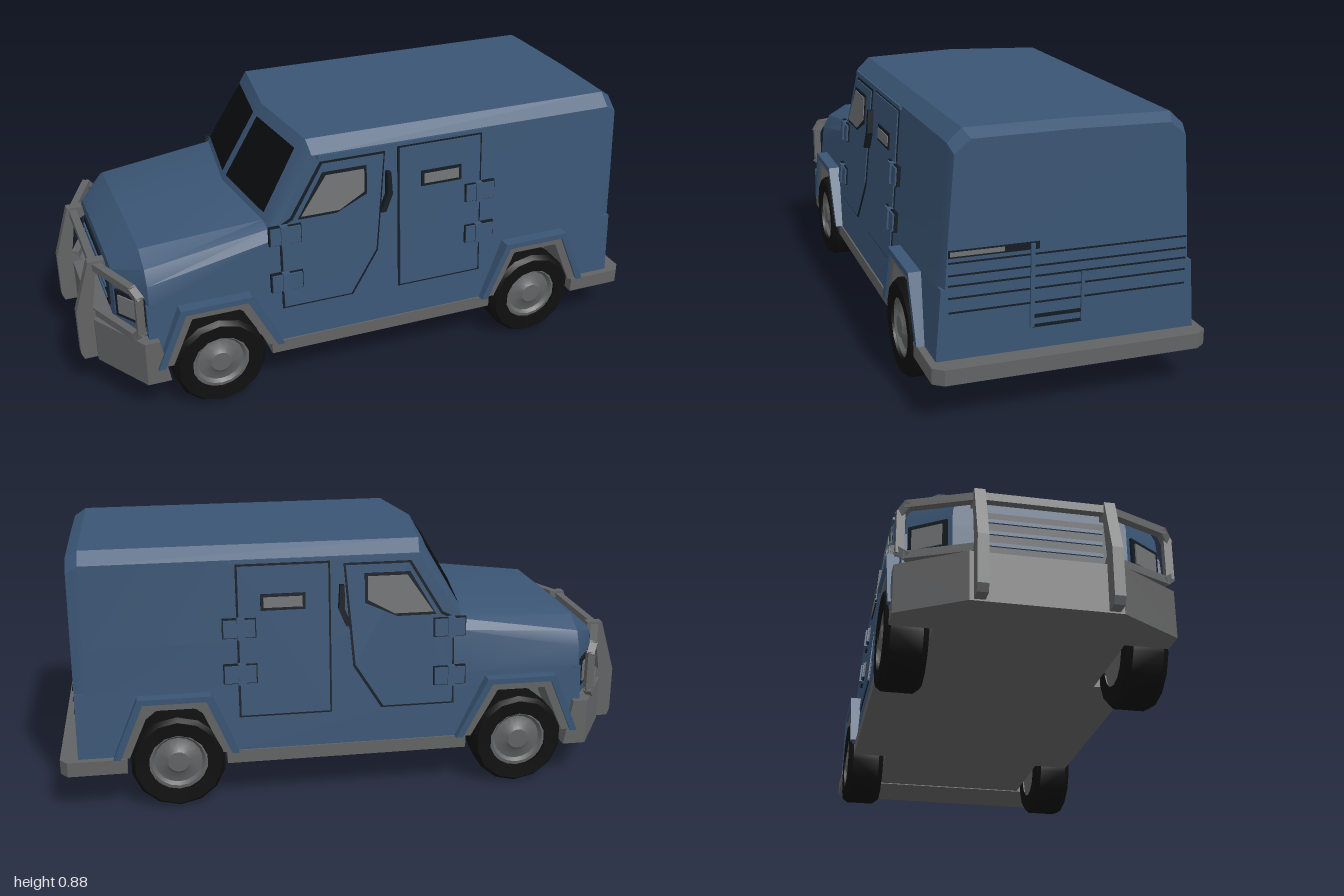
import * as THREE from 'three';
import { toCreasedNormals } from 'three/addons/utils/BufferGeometryUtils.js';

const mat = (name, color, side = THREE.FrontSide) => {
  const m = new THREE.MeshStandardMaterial({ color, side });
  m.name = name;
  return m;
};

// Side walls lean inwards with height
const sideZ = (y) => 0.42 - 0.077 * (y - 0.18);

function mapVertices(geo, rule) {
  const p = geo.attributes.position, v = new THREE.Vector3();
  for (let i = 0; i < p.count; i++) {
    rule(v.fromBufferAttribute(p, i));
    p.setXYZ(i, v.x, v.y, v.z);
  }
  geo.computeVertexNormals();
  return geo;
}

// Copy reflected in z with the corner order restored
function mirrored(geo) {
  const g = geo.index ? geo.toNonIndexed() : geo.clone();
  g.scale(1, 1, -1);
  for (const a of Object.values(g.attributes)) {
    for (let i = 0; i < a.count; i += 3) {
      for (let k = 0; k < a.itemSize; k++) {
        const t = a.getComponent(i + 1, k);
        a.setComponent(i + 1, k, a.getComponent(i + 2, k));
        a.setComponent(i + 2, k, t);
      }
    }
  }
  return g;
}

const polygon = (pts) => new THREE.Shape(pts.map(([x, y]) => new THREE.Vector2(x, y)));
const extrude = (pts, depth) => new THREE.ExtrudeGeometry(polygon(pts), { depth, bevelEnabled: false });

// Side-view outline laid on the leaning wall
const wallPlate = (pts, offset, depth) =>
  mapVertices(extrude(pts, depth), (v) => { v.z += sideZ(v.y) + offset; });

// Plan outline (x, half width) mirrored in z and raised from y0 to y1
function planSlab(half, y0, y1) {
  const pts = [...half, ...half.slice().reverse().map(([x, z]) => [x, -z])];
  return extrude(pts, y1 - y0).rotateX(-Math.PI / 2).translate(0, y0, 0);
}

const rect = (x0, x1, y0, y1) => [[x0, y0], [x1, y0], [x1, y1], [x0, y1]];

const inset = (pts, d) => {
  const c = [0, 1].map((k) => pts.reduce((s, p) => s + p[k], 0) / pts.length);
  return pts.map((p) => p.map((n, k) => n - Math.sign(n - c[k]) * d));
};

// Square beam between two points
function beam(a, b, t) {
  const A = new THREE.Vector3(...a), d = new THREE.Vector3(...b).sub(A);
  const q = new THREE.Quaternion().setFromUnitVectors(new THREE.Vector3(0, 0, 1), d.clone().normalize());
  return new THREE.BoxGeometry(t, t, d.length() + t * 0.6).applyQuaternion(q)
    .translate(...A.addScaledVector(d, 0.5).toArray());
}

// Body shell: sections of [z, y] half outlines, swept back by skew * |z|
function loft(sections) {
  const pos = [], idx = [];
  let n = 0;
  for (const { x, skew = 0, half } of sections) {
    const ring = [...half, [0, half.at(-1)[1] + 0.004], ...half.slice().reverse().map(([z, y]) => [-z, y])];
    n = ring.length;
    for (const [z, y] of ring) pos.push(x + skew * Math.abs(z), y, z);
  }
  for (let i = 0; i < sections.length - 1; i++) {
    for (let j = 0; j < n; j++) {
      const a = i * n + j, b = i * n + (j + 1) % n;
      idx.push(a, a + n, b + n, a, b + n, b);
    }
  }
  const e = (sections.length - 1) * n;
  for (let k = 1; k < n - 1; k++) idx.push(0, k, k + 1, e, e + k + 1, e + k);
  const g = new THREE.BufferGeometry();
  g.setAttribute('position', new THREE.Float32BufferAttribute(pos, 3));
  g.setIndex(idx);
  return toCreasedNormals(g, 0.45);
}

export function createModel() {
  const root = new THREE.Group();
  root.name = 'armouredTruck';
  const blue = mat('body blue', 0x3a5574);
  const grey = mat('bumper grey', 0x626364);
  const black = mat('tyre black', 0x0f0f10);
  const dark = mat('dark trim', 0x131a22);
  const glass = mat('windscreen black', 0x0b0c0d, THREE.DoubleSide);
  const pane = mat('side window grey', 0x707274);

  const add = (name, geo, m) => {
    const mesh = new THREE.Mesh(geo, m);
    mesh.name = name;
    root.add(mesh);
  };
  const pair = (name, geo, m) => {
    add(name + 'Left', geo, m);
    add(name + 'Right', mirrored(geo), m);
  };

  // Bonnet, cab and box in one shell
  const sec = (x, belt, edge, roof, skew) =>
    ({ x, skew, half: [[sideZ(0.4), 0.4], [sideZ(belt), belt], edge, roof] });
  const full = [[sideZ(0.835), 0.835], [0.325, 0.876]];
  add('bodyShell', loft([
    { x: -0.88, half: [[0.27, 0.4], [0.27, 0.46], [0.26, 0.49], [0.23, 0.5]] },
    sec(-0.79, 0.48, [0.37, 0.53], [0.3, 0.57]),
    sec(-0.42, 0.56, [0.37, 0.595], [0.33, 0.612], 0.13),
    sec(-0.265, 0.56, ...full, 0.13),
    sec(0.9, 0.56, ...full),
    { x: 0.94, half: [[0.39, 0.4], [0.38, 0.56], [0.36, 0.81], [0.31, 0.852]] },
  ]), blue);

  // Lower body with wheel openings
  const lower = [[-0.8, 0.18], [-0.76, 0.18], [-0.68, 0.375], [-0.47, 0.375], [-0.37, 0.18],
    [0.43, 0.18], [0.51, 0.375], [0.72, 0.375], [0.8, 0.18], [0.94, 0.18], [0.94, 0.41], [-0.8, 0.41]];
  add('lowerBody', mapVertices(extrude(lower, 1), (v) => {
    v.z = (v.z > 0.5 ? 1 : -1) * sideZ(v.y);
  }), blue);
  add('nose', planSlab([[-0.88, 0.27], [-0.79, 0.403], [-0.77, 0.403]], 0.2, 0.41), blue);

  // Chassis, skirts and bumpers
  add('underside', new THREE.BoxGeometry(1.66, 0.25, 0.6).translate(0.08, 0.265, 0), grey);
  add('skirts', planSlab([[-0.385, 0.425], [0.445, 0.425]], 0.14, 0.185), grey);
  add('rearBumper', planSlab([[0.78, 0.443], [0.975, 0.443], [1, 0.41]], 0.137, 0.187), grey);
  add('frontBumper', mapVertices(
    planSlab([[-0.945, 0.23], [-0.82, 0.435], [-0.74, 0.435]], 0.13, 0.29),
    (v) => { if (v.x > -0.75 && v.y > 0.2) v.x -= 0.03; }), grey);

  // Wheel arches: blue outer flare and grey inner lip
  for (const [name, a, b, c, d] of [['front', -0.76, -0.68, -0.47, -0.37], ['rear', 0.43, 0.51, 0.72, 0.8]]) {
    const band = (o, i, y) => [[a - o, y], [b - o * 0.7, 0.375 + o * 0.8], [c + o * 0.7, 0.375 + o * 0.8],
      [d + o, y], [d - i, y], [c - i * 0.7, 0.375 - i * 0.8], [b + i * 0.7, 0.375 - i * 0.8], [a + i, y]];
    pair(name + 'Flare', extrude(band(0.024, 0, 0.185), 0.045).translate(0, 0, 0.4), blue);
    pair(name + 'ArchLip', extrude(band(0, 0.03, 0.187), 0.14).translate(0, 0, 0.295), grey);
  }

  // Wheels
  const lathe = (pts, n) => toCreasedNormals(
    new THREE.LatheGeometry(pts.map(([r, y]) => new THREE.Vector2(r, y)), n).rotateX(Math.PI / 2), 0.6);
  const tyre = lathe([[0.09, -0.068], [0.145, -0.068], [0.16, -0.05], [0.16, 0.05], [0.147, 0.068], [0.1, 0.066], [0.098, 0.04]], 14);
  const hub = lathe([[0, -0.06], [0.1, -0.06], [0.102, 0.058], [0.09, 0.06], [0.08, 0.048], [0.05, 0.054], [0.035, 0.066], [0, 0.067]], 18);
  for (const [name, x] of [['front', -0.57], ['rear', 0.61]]) {
    pair(name + 'Tyre', tyre.clone().translate(x, 0.16, 0.376), black);
    pair(name + 'Hub', hub.clone().translate(x, 0.165, 0.376), grey);
  }

  // Doors: dark seam with the panel over it
  const frontDoor = [[-0.34, 0.305], [-0.085, 0.305], [0.01, 0.455], [0.04, 0.81], [-0.19, 0.81], [-0.3, 0.63], [-0.34, 0.61]];
  const rearDoor = rect(0.085, 0.4, 0.3, 0.82);
  for (const [name, pts] of [['frontDoor', frontDoor], ['rearDoor', rearDoor]]) {
    pair(name + 'Seam', wallPlate(pts, -0.002, 0.005), dark);
    pair(name, wallPlate(inset(pts, 0.007), -0.002, 0.009), blue);
  }
  const sideWindow = [[-0.275, 0.625], [-0.14, 0.625], [-0.03, 0.675], [-0.03, 0.775], [-0.185, 0.775]];
  for (const [name, pts] of [['sideWindow', sideWindow], ['slotWindow', rect(0.17, 0.32, 0.665, 0.72)]]) {
    pair(name + 'Frame', wallPlate(pts, 0.006, 0.005), dark);
    pair(name, wallPlate(inset(pts, 0.01), 0.006, 0.008), pane);
  }

  // Hinges and door handles
  for (const [x, ys] of [[-0.375, [0.38, 0.55]], [0.34, [0.425, 0.58]]]) {
    for (const y of ys) {
      pair('hingeBack', wallPlate(rect(x - 0.004, x + 0.109, y - 0.004, y + 0.062), 0, 0.012), dark);
      pair('hinge', wallPlate(rect(x, x + 0.105, y, y + 0.058), 0, 0.018), blue);
      pair('hingePin', wallPlate(rect(x + 0.035, x + 0.06, y - 0.006, y + 0.064), 0, 0.024), blue);
    }
  }
  pair('doorHandle', wallPlate([[0.015, 0.6], [0.035, 0.6], [0.06, 0.66], [0.055, 0.74], [0.04, 0.74], [0.04, 0.66]], 0, 0.02), dark);
  pair('roofGutter', wallPlate(rect(-0.2, 0.42, 0.822, 0.834), 0, 0.008), blue);

  // Windscreen panes on the sloped front of the cab
  const screenPoint = (z, t) => [
    -0.42 + 0.155 * t + 0.13 * z - 0.006,
    0.614 + 0.264 * t - 0.004 * z / 0.33 + 0.004, z];
  const screen = new THREE.BufferGeometry();
  screen.setAttribute('position', new THREE.Float32BufferAttribute(
    [[0.02, 0.08], [0.325, 0.08], [0.305, 0.86], [0.02, 0.86]].flatMap(([z, t]) => screenPoint(z, t)), 3));
  screen.setIndex([0, 1, 2, 0, 2, 3]);
  screen.computeVertexNormals();
  pair('windscreen', screen, glass);

  // Grille and lamps
  add('grille', new THREE.BoxGeometry(0.008, 0.14, 0.4).translate(-0.883, 0.39, 0), dark);
  for (let i = 0; i < 3; i++) {
    add('grilleSlat', new THREE.BoxGeometry(0.008, 0.012, 0.38).translate(-0.889, 0.35 + i * 0.04, 0), blue);
  }
  const slant = Math.atan2(0.09, 0.133);
  pair('lampSurround', new THREE.BoxGeometry(0.008, 0.1, 0.13).rotateY(slant).translate(-0.838, 0.38, 0.338), dark);
  pair('headlamp', new THREE.BoxGeometry(0.008, 0.07, 0.1).rotateY(slant).translate(-0.842, 0.38, 0.341), pane);

  // Bull bar: two uprights, top bar and lamp hoops
  const upright = [[-0.9, 0.135], [-0.99, 0.135], [-1, 0.16], [-1, 0.32], [-0.945, 0.505], [-0.89, 0.505], [-0.885, 0.47],
    [-0.925, 0.45], [-0.945, 0.32], [-0.9, 0.28]].reverse();
  pair('bullBarUpright', extrude(upright, 0.034).translate(0, 0, 0.183), grey);
  add('bullBarTop', beam([-0.925, 0.485, -0.2], [-0.925, 0.485, 0.2], 0.026), grey);
  const hoop = [[-0.925, 0.485, 0.2], [-0.84, 0.485, 0.4], [-0.825, 0.46, 0.42], [-0.825, 0.33, 0.42], [-0.84, 0.31, 0.4], [-0.93, 0.31, 0.2]];
  for (let i = 0; i < hoop.length - 1; i++) pair('lampHoop', beam(hoop[i], hoop[i + 1], 0.026), grey);

  // Rear panel lines and step
  const rearPlate = (name, z0, z1, y0, y1, m, t = 0.008) =>
    add(name, new THREE.BoxGeometry(t, y1 - y0, z1 - z0).translate(0.941, (y0 + y1) / 2, (z0 + z1) / 2), m);
  for (const y of [0.335, 0.38, 0.418, 0.45, 0.488]) rearPlate('rearLine', -0.38, 0.38, y, y + 0.004, dark);
  rearPlate('rearStripBack', 0.1, 0.38, 0.505, 0.528, dark, 0.006);
  rearPlate('rearStrip', 0.21, 0.375, 0.51, 0.524, pane);
  rearPlate('rearLadderRail', 0.115, 0.128, 0.26, 0.525, blue, 0.014);
  rearPlate('rearLadderRail', -0.045, -0.035, 0.26, 0.42, blue, 0.014);
  rearPlate('rearStep', -0.04, 0.12, 0.258, 0.266, dark, 0.01);
  rearPlate('rearStep', -0.04, 0.12, 0.288, 0.298, dark, 0.01);

  return root;
}
